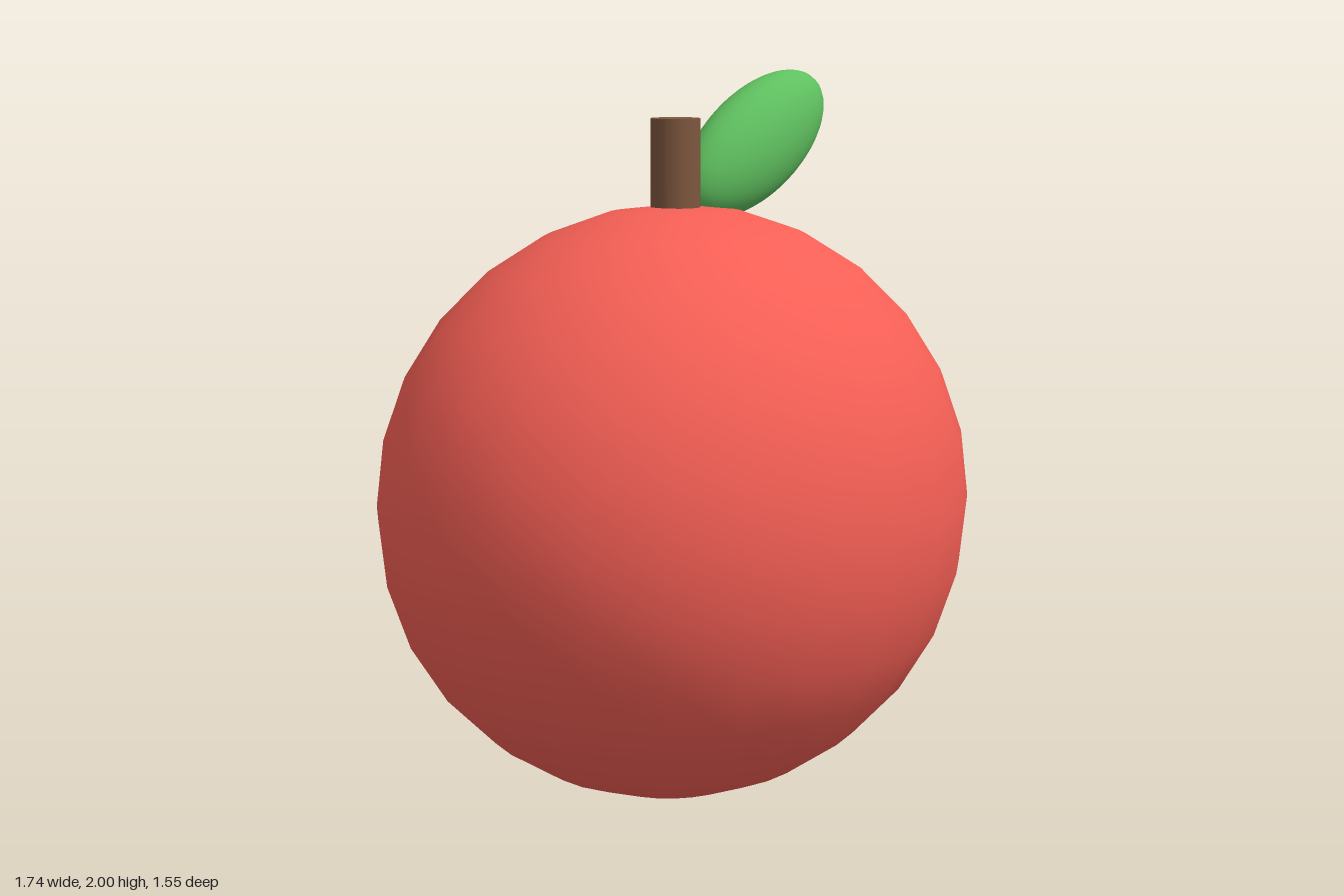
import * as THREE from 'three';

export function createModel() {
  const group = new THREE.Group();

  function add(name, geometry, color, position) {
    const mesh = new THREE.Mesh(geometry, new THREE.MeshStandardMaterial({ color }));
    mesh.name = name;
    mesh.position.set(...position);
    group.add(mesh);
    return mesh;
  }

  // Fruit: a sphere squashed a little in height and depth
  const fruit = add('fruit', new THREE.SphereGeometry(1, 24, 14), 0xf55f55, [0, 0.825, 0]);
  fruit.scale.set(0.87, 0.822, 0.775);

  // Stem: a short post sunk into the top of the fruit
  add('stem', new THREE.CylinderGeometry(0.068, 0.068, 0.33, 32), 0x7d573e, [0, 1.715, 0]);

  // Leaf: a slim ellipsoid tilted up to the left of the stem
  const leaf = add('leaf', new THREE.SphereGeometry(1, 40, 28), 0x5fc05f, [0.33, 1.8, 0]);
  leaf.scale.set(0.305, 0.151, 0.113);
  leaf.rotation.z = THREE.MathUtils.degToRad(30);

  return group;
}
